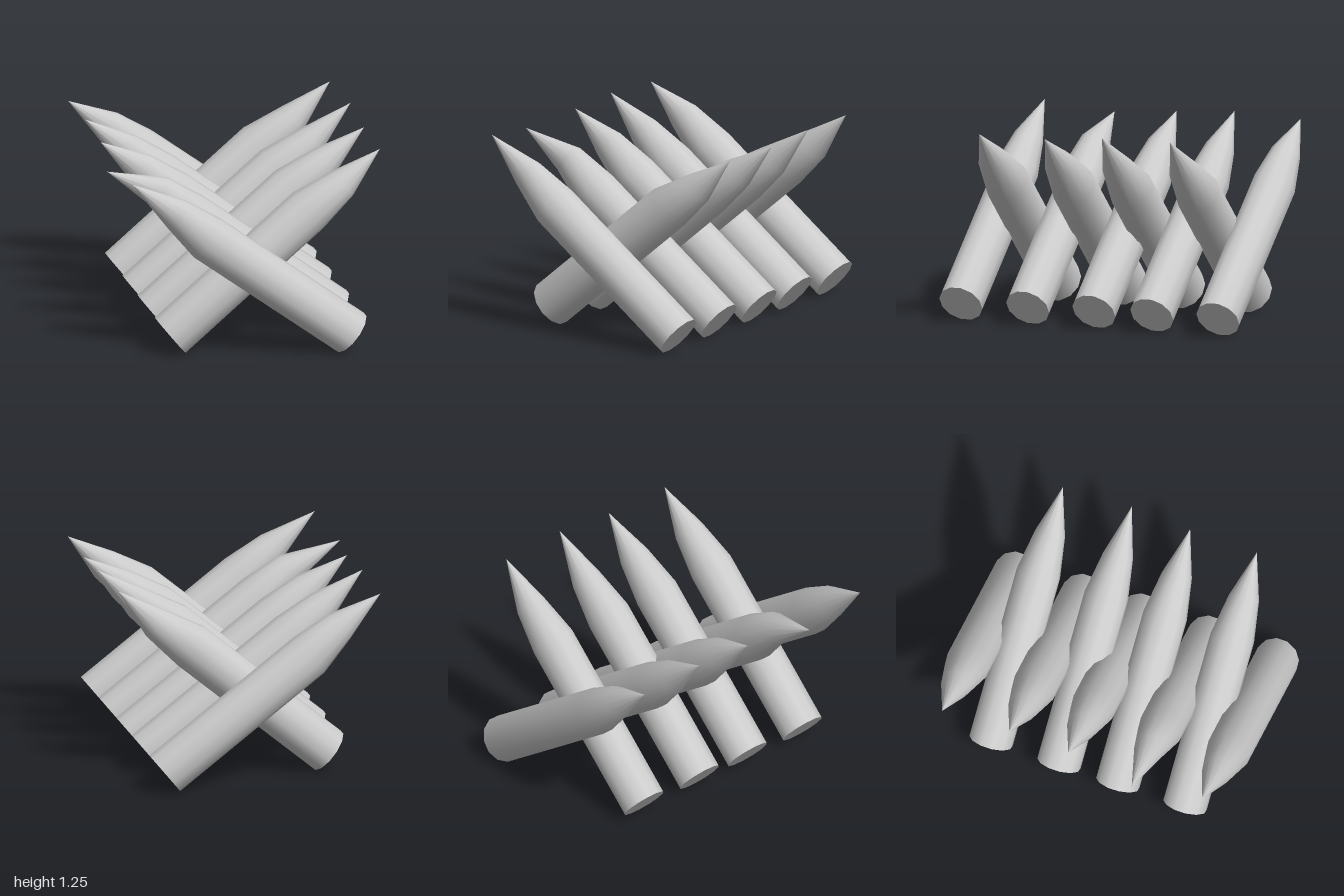
import * as THREE from 'three';
import { toCreasedNormals } from 'three/addons/utils/BufferGeometryUtils.js';

const SIDES = 12;

// Sharpened log swept through rings [x, y, scale], ending in a single tip point.
// lean is +1 when it leans towards +x, -1 towards -x.
function stakeGeometry(rings, tip, lean) {
  const pos = [], index = [];
  const k = 1 / Math.cos(Math.PI / SIDES);
  for (const [x, y, s] of rings) {
    for (let i = 0; i < SIDES; i++) {
      const a = ((i + 0.5) / SIDES) * Math.PI * 2;
      const c = Math.cos(a) * k * s;
      pos.push(x - lean * 0.09 * c, y + 0.112 * c, lean * 0.135 * Math.sin(a) * k * s);
    }
  }
  const last = (rings.length - 1) * SIDES;
  const tipId = rings.length * SIDES, baseId = tipId + 1;
  pos.push(tip[0], tip[1], 0, rings[0][0], rings[0][1], 0);
  for (let i = 0; i < SIDES; i++) {
    const j = (i + 1) % SIDES;
    for (let r = 0; r < last; r += SIDES) {
      index.push(r + i, r + j, r + SIDES + j, r + i, r + SIDES + j, r + SIDES + i);
    }
    index.push(last + i, last + j, tipId, baseId, j, i);
  }
  const g = new THREE.BufferGeometry();
  g.setAttribute('position', new THREE.Float32BufferAttribute(pos, 3));
  g.setIndex(index);
  return toCreasedNormals(g, 0.8);
}

export function createModel() {
  const model = new THREE.Group();
  model.name = 'stakeBarricade';
  const wood = new THREE.MeshStandardMaterial({ color: 0xcccccc });

  // Each row: base, shoulder and taper rings, then [z, tip x, tip y] per stake
  const rows = [
    {
      name: 'rightLeaningStake', lean: -1,
      rings: [[0.6, 0.117, 1], [-0.33, 0.82, 1], [-0.53, 0.995, 0.69]],
      stakes: [[-0.865, -0.79, 1.185], [-0.42, -0.79, 1.21], [-0.03, -0.79, 1.19],
        [0.415, -0.86, 1.15], [0.865, -0.81, 1.21]],
    },
    {
      name: 'leftLeaningStake', lean: 1,
      rings: [[-0.51, 0.117, 1], [0.38, 0.87, 1], [0.6, 1.03, 0.69]],
      stakes: [[-0.64, 0.84, 1.255], [-0.19, 0.86, 1.26], [0.2, 0.85, 1.23], [0.645, 0.84, 1.235]],
    },
  ];

  for (const { name, lean, rings, stakes } of rows) {
    stakes.forEach(([z, tx, ty], i) => {
      const stake = new THREE.Mesh(stakeGeometry(rings, [tx, ty], lean), wood);
      stake.name = name + (i + 1);
      stake.position.z = z;
      model.add(stake);
    });
  }
  return model;
}
